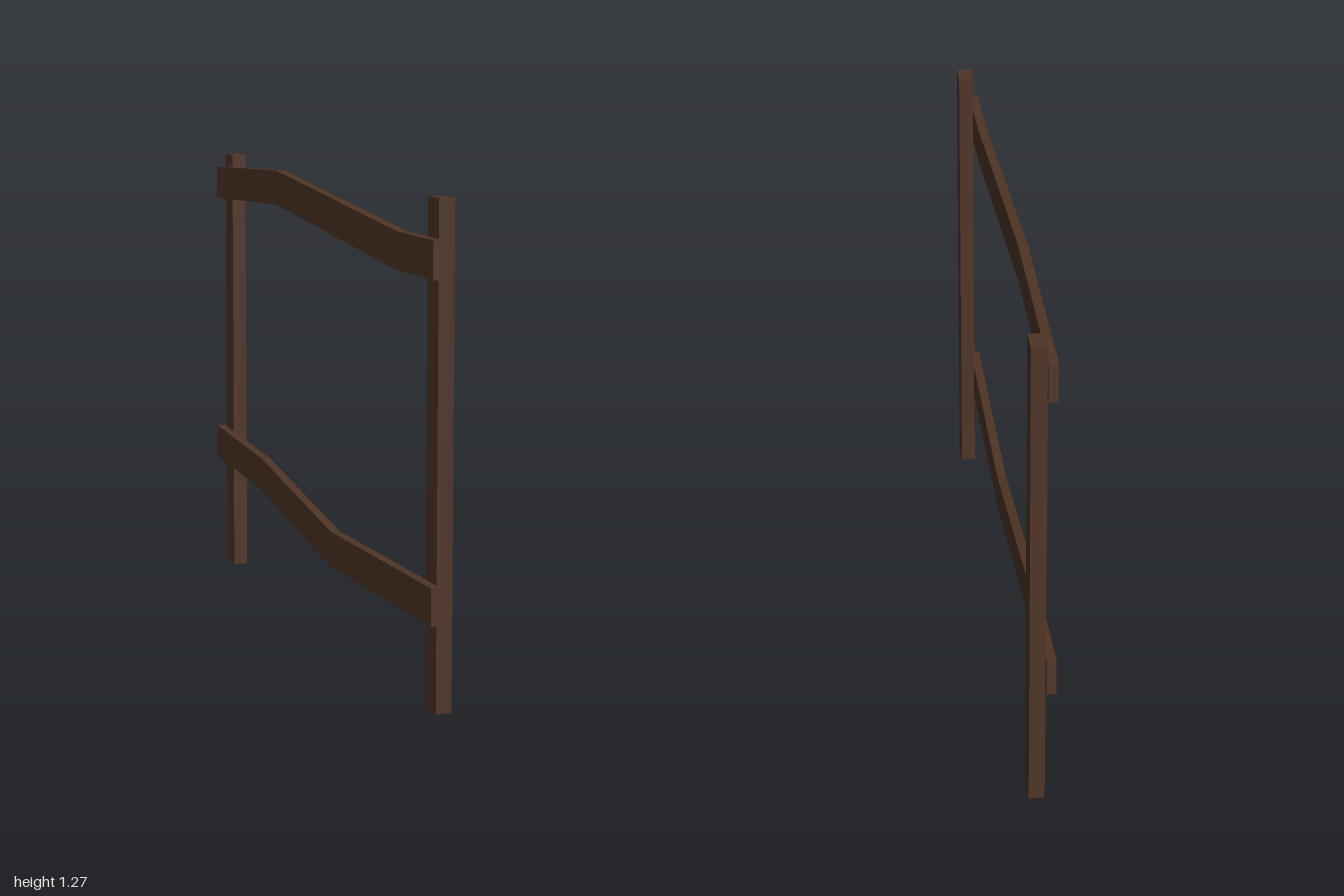
import * as THREE from 'three';

const wood = new THREE.MeshStandardMaterial({ color: 0x4f3426, flatShading: true });

// Crooked plank: [z, y] corners along the top and bottom edges, extruded across x
function makeRail(name, top, bottom) {
  const outline = [...top, ...bottom.slice().reverse()].map(([z, y]) => new THREE.Vector2(z, y));
  const geometry = new THREE.ExtrudeGeometry(new THREE.Shape(outline), { depth: 0.025, bevelEnabled: false });
  geometry.rotateY(-Math.PI / 2); // shape x becomes z, depth runs towards -x
  geometry.translate(-0.008, 0, 0);
  const rail = new THREE.Mesh(geometry, wood);
  rail.name = name;
  return rail;
}

export function createModel() {
  const fence = new THREE.Group();
  fence.name = 'fence';

  // Upright posts
  for (const side of [1, -1]) {
    const post = new THREE.Mesh(new THREE.BoxGeometry(0.041, 1.266, 0.08), wood);
    post.name = side > 0 ? 'frontPost' : 'backPost';
    post.position.set(0.0115, 0.633, side * 0.932);
    fence.add(post);
  }

  // Bent rails fixed to the right face of the posts
  fence.add(makeRail('upperRail',
    [[1, 1.168], [0.73, 1.168], [-0.33, 1.253], [-0.985, 1.227]],
    [[1, 1.072], [0.722, 1.072], [-0.335, 1.157], [-0.99, 1.131]]));
  fence.add(makeRail('lowerRail',
    [[1, 0.323], [0.187, 0.308], [-0.495, 0.398], [-0.995, 0.422]],
    [[1, 0.227], [0.178, 0.212], [-0.505, 0.303], [-1, 0.327]]));

  return fence;
}
